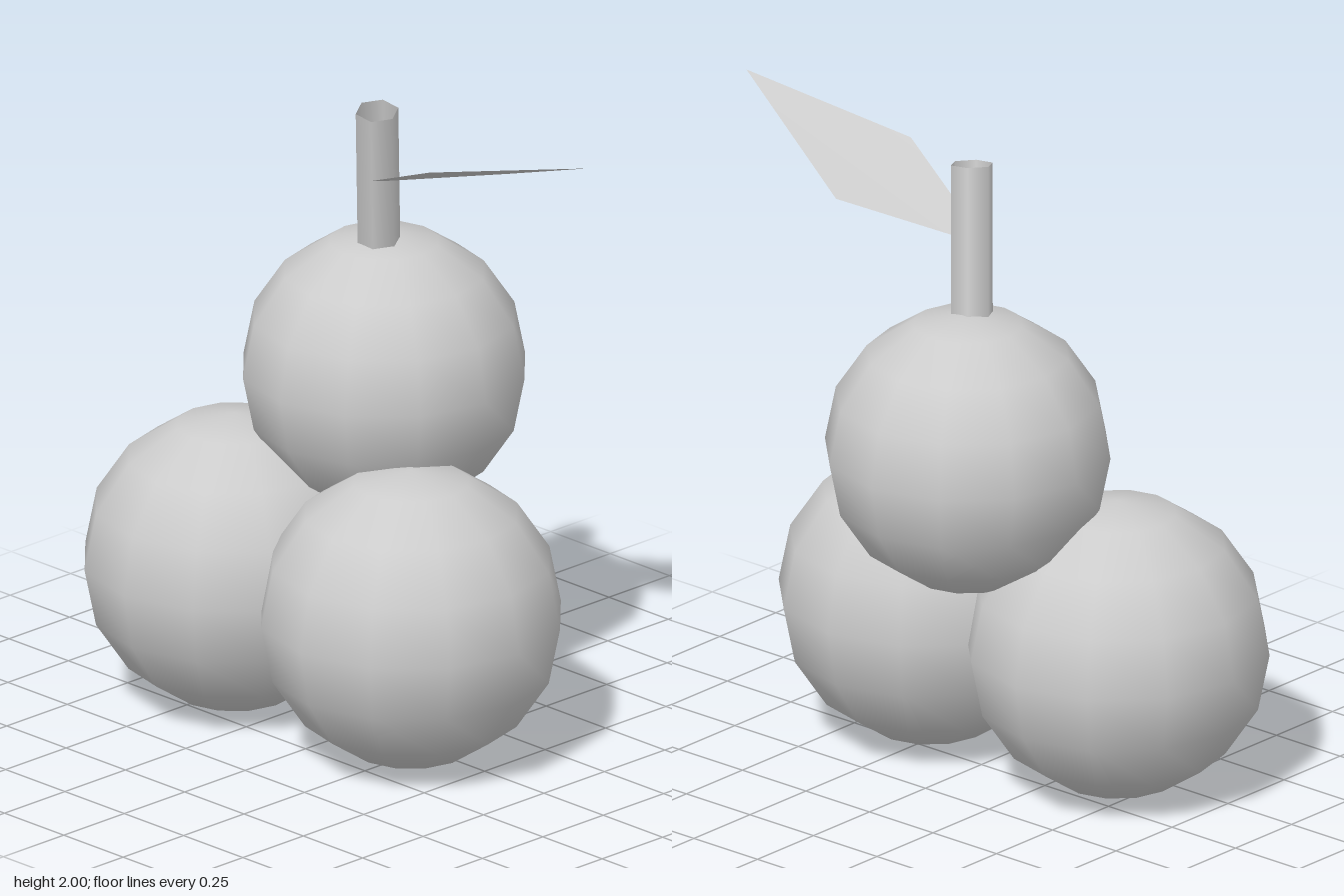
import * as THREE from 'three';

export function createModel() {
  const model = new THREE.Group();
  model.name = 'fruitCluster';
  const grey = new THREE.MeshStandardMaterial({ color: 0xcccccc, side: THREE.DoubleSide });
  grey.name = 'lightGrey';

  const add = (name, geometry) => {
    const mesh = new THREE.Mesh(geometry, grey);
    mesh.name = name;
    model.add(mesh);
    return mesh;
  };

  // Three overlapping berries: name, radius, centre
  const berries = [
    ['topBerry', 0.43, [-0.087, 1.08, -0.16]],
    ['rightBerry', 0.457, [-0.424, 0.459, 0.128]],
    ['leftBerry', 0.457, [0.274, 0.459, 0.083]],
  ];
  for (const [name, radius, centre] of berries) {
    add(name, new THREE.SphereGeometry(radius, 12, 8)).position.set(...centre);
  }

  // Open six-sided stem, leaning forward and to the left
  const base = new THREE.Vector3(-0.07, 1.49, -0.122);
  const tip = new THREE.Vector3(-0.015, 1.935, -0.06);
  const axis = tip.clone().sub(base);
  const stem = add('stem', new THREE.CylinderGeometry(
    0.065, 0.065, axis.length(), 6, 1, true, Math.PI / 6));
  stem.position.copy(base).lerp(tip, 0.5);
  stem.quaternion.setFromUnitVectors(new THREE.Vector3(0, 1, 0), axis.normalize());

  // Flat diamond leaf growing out of the stem: base, front corner, tip, back corner
  const leaf = new THREE.BufferGeometry();
  leaf.setAttribute('position', new THREE.Float32BufferAttribute([
    -0.08, 1.69, -0.06,
    0.35, 1.88, 0.082,
    0.872, 2.0, -0.06,
    0.35, 1.785, -0.252,
  ], 3));
  leaf.setIndex([0, 1, 2, 0, 2, 3]);
  leaf.computeVertexNormals();
  add('leaf', leaf);

  return model;
}
